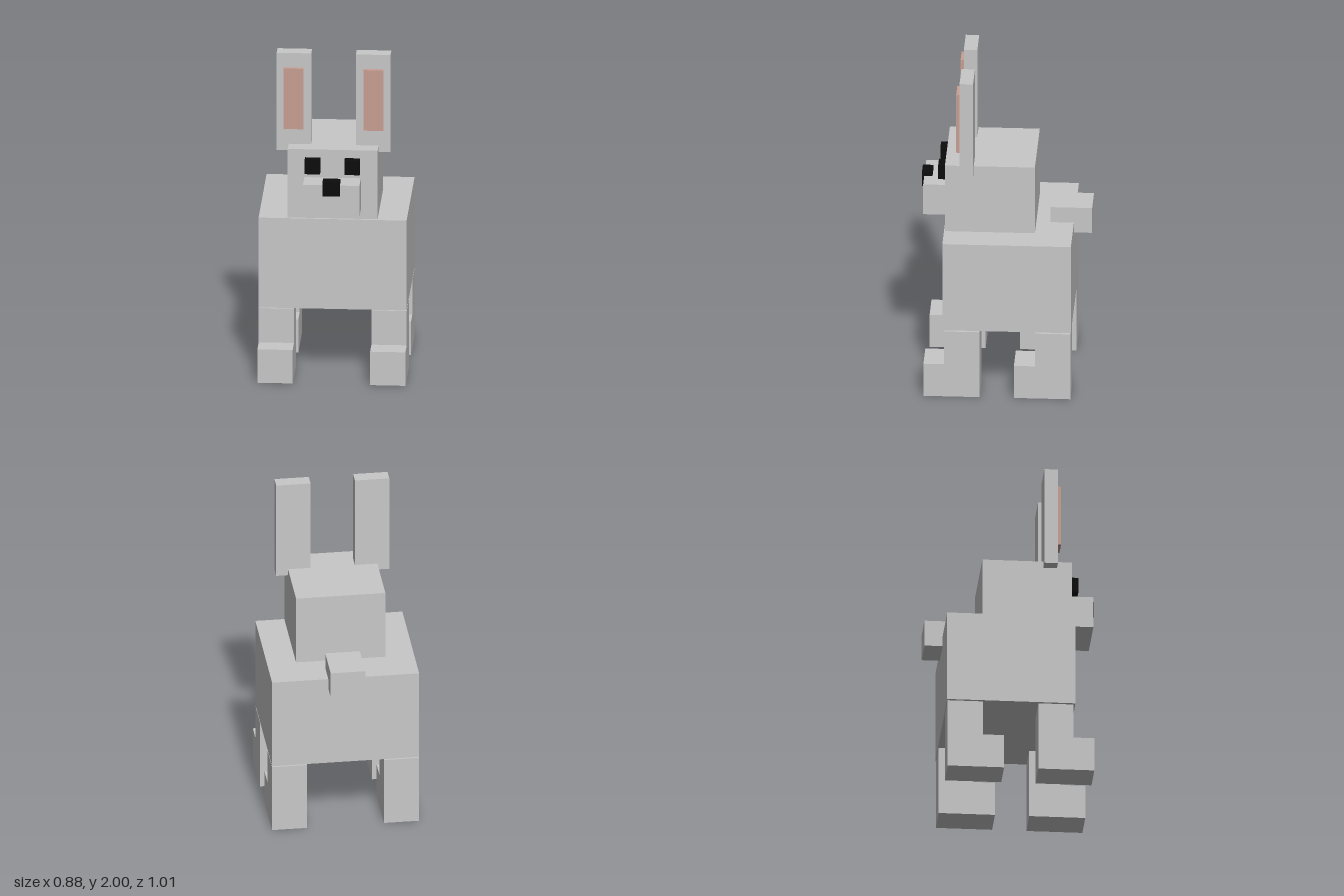
import * as THREE from 'three';

export function createModel() {
  const makeMaterial = (name, color) => {
    const m = new THREE.MeshStandardMaterial({ color });
    m.name = name;
    return m;
  };
  const fur = makeMaterial('greyFur', 0xc8c8c8);
  const pink = makeMaterial('innerEarPink', 0xc89f93);
  const black = makeMaterial('black', 0x0c0c0c);

  const model = new THREE.Group();
  model.name = 'rabbit';

  // Box given by its extents along each axis
  const addBox = (name, material, [x0, x1], [y0, y1], [z0, z1]) => {
    const mesh = new THREE.Mesh(new THREE.BoxGeometry(x1 - x0, y1 - y0, z1 - z0), material);
    mesh.position.set((x0 + x1) / 2, (y0 + y1) / 2, (z0 + z1) / 2);
    mesh.name = name;
    model.add(mesh);
  };
  // Same box on the left (+x) and right (-x)
  const addPair = (name, material, [x0, x1], y, z) => {
    addBox(`left${name}`, material, [x0, x1], y, z);
    addBox(`right${name}`, material, [-x1, -x0], y, z);
  };

  // Body and tail
  addBox('body', fur, [-0.438, 0.438], [0.433, 0.997], [-0.397, 0.363]);
  addBox('tail', fur, [-0.103, 0.103], [0.933, 1.095], [-0.505, -0.259]);

  // Head, muzzle and nose
  addBox('head', fur, [-0.266, 0.266], [1.0, 1.43], [-0.175, 0.357]);
  addBox('muzzle', fur, [-0.167, 0.167], [1.06, 1.255], [0.357, 0.491]);
  addBox('nose', black, [-0.051, 0.051], [1.19, 1.28], [0.442, 0.505]);
  addPair('Eye', black, [0.072, 0.163], [1.29, 1.38], [0.355, 0.403]);

  // Ears
  addPair('Ear', fur, [0.132, 0.337], [1.39, 2.0], [0.187, 0.267]);
  addPair('InnerEar', pink, [0.177, 0.296], [1.53, 1.91], [0.265, 0.289]);

  // Legs stand on the back part of each foot
  for (const [end, back, shin, toe] of [['Front', 0.143, 0.352, 0.475], ['Back', -0.394, -0.185, -0.06]]) {
    addPair(`${end}Leg`, fur, [0.229, 0.438], [0.21, 0.425], [back, shin]);
    addPair(`${end}Foot`, fur, [0.229, 0.438], [0, 0.21], [back, toe]);
  }

  return model;
}
